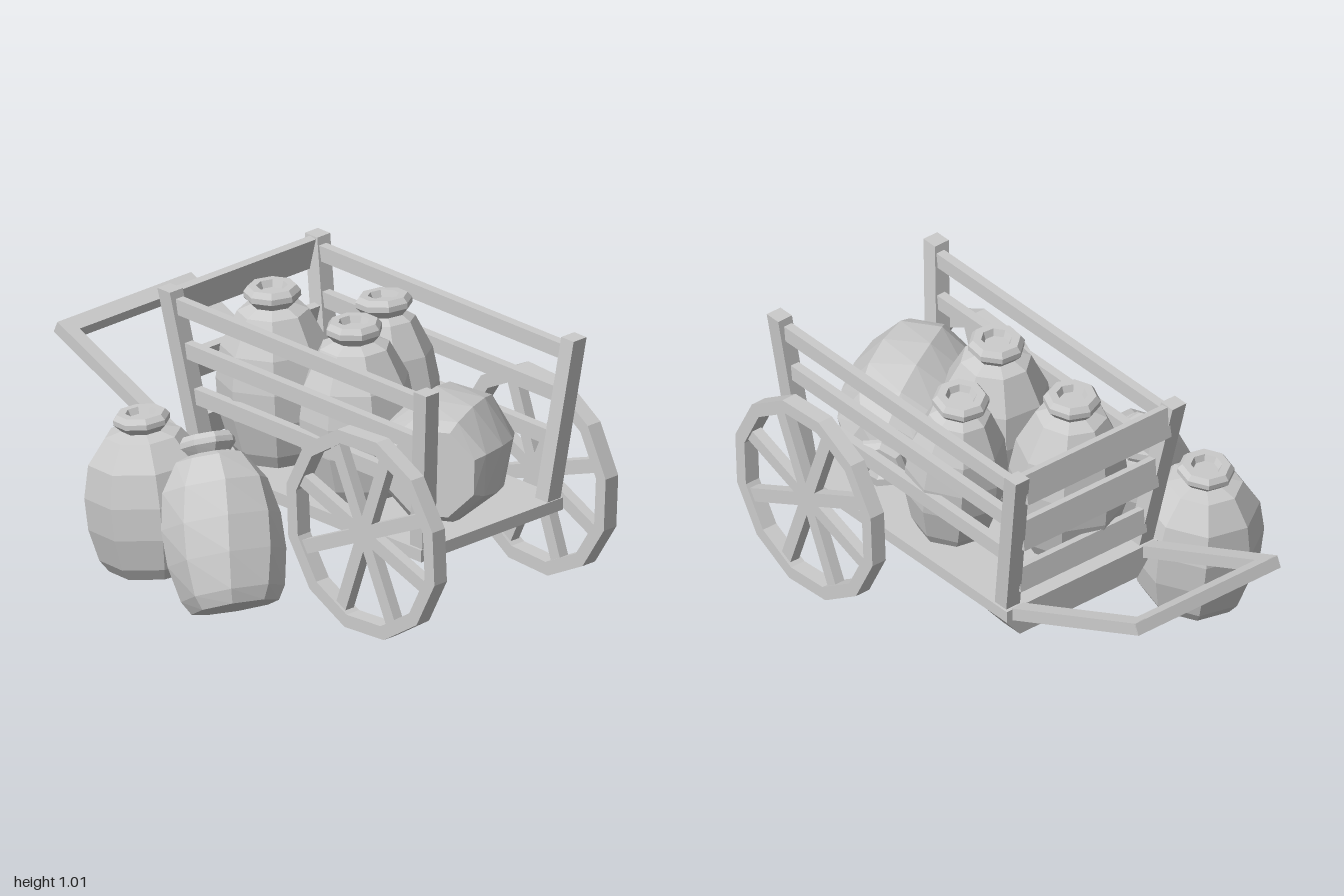
import * as THREE from 'three';

const mat = new THREE.MeshStandardMaterial({ color: 0xcccccc, flatShading: true, side: THREE.DoubleSide });
const CX = 0.17; // centre line of the cart
const FLOOR = 0.395;

function add(parent, name, geometry, x = 0, y = 0, z = 0) {
  const m = new THREE.Mesh(geometry, mat);
  m.name = name;
  m.position.set(x, y, z);
  parent.add(m);
  return m;
}

// Straight beam with a rectangular section between two points
function beam(parent, name, a, b, w, h) {
  const m = add(parent, name, new THREE.BoxGeometry(w, h, a.distanceTo(b)));
  m.position.copy(a).add(b).multiplyScalar(0.5);
  m.lookAt(b);
}

// Leaning post with level ends: a box sheared from its foot to its head
function post(parent, name, foot, head) {
  const g = new THREE.BoxGeometry(0.062, head.y - foot.y, 0.062);
  const p = g.attributes.position;
  for (let i = 0; i < p.count; i++) {
    const end = p.getY(i) > 0 ? head : foot;
    p.setXYZ(i, p.getX(i) + end.x, end.y, p.getZ(i) + end.z);
  }
  add(parent, name, g);
}

// Twelve-sided rim with eight spokes, turning about x
function wheel(parent, name, x, turn) {
  const w = new THREE.Group();
  w.name = name;
  const ring = (r, C) => {
    const s = new C();
    for (let i = 0; i < 12; i++) {
      const a = (i + 0.5) * Math.PI / 6 + turn;
      s[i ? 'lineTo' : 'moveTo'](r * Math.cos(a), r * Math.sin(a));
    }
    s.closePath();
    return s;
  };
  const shape = ring(0.378, THREE.Shape);
  shape.holes.push(ring(0.328, THREE.Path));
  const rim = new THREE.ExtrudeGeometry(shape, { depth: 0.06, bevelEnabled: false });
  rim.translate(0, 0, -0.03);
  add(w, 'rim', rim);
  for (let i = 0; i < 8; i++) {
    const s = new THREE.BoxGeometry(0.335, 0.05, 0.04);
    s.translate(0.1675, 0, 0);
    add(w, 'spoke', s).rotation.z = (i + 0.5) * Math.PI / 4 + turn;
  }
  w.rotation.y = Math.PI / 2;
  w.position.set(x, 0.41, 0.63);
  parent.add(w);
}

// Faceted sacks: an upright or slumped body below a pinched neck and hollow lip
const UPRIGHT = [[0, 0], [0.14, 0], [0.17, 0.05], [0.205, 0.18], [0.208, 0.29], [0.188, 0.41], [0.125, 0.535]];
const SLUMPED = [[0, 0], [0.16, 0], [0.19, 0.05], [0.217, 0.18], [0.22, 0.31], [0.196, 0.44], [0.13, 0.54]];
const NECK = [[0.075, 0.557], [0.1, 0.585], [0.1, 0.605], [0.085, 0.625], [0.055, 0.625], [0.045, 0.6], [0, 0.6]];
const UP = new THREE.Vector3(0, 1, 0);

function sack(parent, name, base, top, { body = UPRIGHT, girth = 1, turn = 0, twist = 0 } = {}) {
  const axis = top.clone().sub(base);
  const k = axis.length() / 0.625;
  const pts = [...body.map(([r, y]) => [r * girth, y]), ...NECK].map(([r, y]) => new THREE.Vector2(r, y * k));
  const g = new THREE.LatheGeometry(pts, 8);
  const p = g.attributes.position, v = new THREE.Vector3();
  for (let i = 0; i < p.count; i++) {
    v.fromBufferAttribute(p, i);
    v.applyAxisAngle(UP, turn + twist * v.y);
    p.setXYZ(i, v.x, v.y, v.z);
  }
  const m = add(parent, name, g);
  m.position.copy(base);
  m.quaternion.setFromUnitVectors(UP, axis.normalize());
}

export function createModel() {
  const root = new THREE.Group();
  root.name = 'handcart';
  const V = (x, y, z) => new THREE.Vector3(x, y, z);

  // Bed and the tapered rest beneath its back
  add(root, 'floor', new THREE.BoxGeometry(0.68, 0.045, 1.17), CX, 0.3725, 0.265);
  const rest = new THREE.Shape([[-0.34, 0.35], [-0.265, 0.26], [0.265, 0.26], [0.34, 0.35]]
    .map(([x, y]) => new THREE.Vector2(x, y)));
  add(root, 'rest', new THREE.ExtrudeGeometry(rest, { depth: 0.09, bevelEnabled: false }), CX, 0, -0.3);

  // Outward-leaning frame; the position along a post follows its height
  const lean = (y, a, b) => a + (b - a) * (y - FLOOR) / (1.005 - FLOOR);
  const side = y => lean(y, 0.3, 0.353);
  const front = y => lean(y, 0.815, 0.89);
  const back = y => lean(y, -0.275, -0.39);
  for (const s of [-1, 1]) {
    for (const [name, end] of [['frontPost', front], ['backPost', back]]) {
      post(root, name,
        V(CX + s * side(0.38), 0.38, end(0.38)),
        V(CX + s * side(1.005), 1.005, end(1.005)));
    }
    for (const y of [0.948, 0.788, 0.622]) {
      const x = CX + s * (side(y) - 0.005);
      beam(root, 'sideRail', V(x, y, back(y)), V(x, y, front(y)), 0.035, 0.057);
    }
    wheel(root, s > 0 ? 'leftWheel' : 'rightWheel', s > 0 ? 0.6 : -0.22, s * 0.05);
    const hx = CX - 0.007 + s * 0.293;
    beam(root, 'handleArm', V(hx, 0.365, -0.3), V(hx, 0.668, -0.985), 0.055, 0.045);
  }
  for (const [y, h] of [[0.943, 0.115], [0.715, 0.11], [0.5, 0.09]]) {
    const b = add(root, 'backBoard', new THREE.BoxGeometry(2 * side(y) - 0.05, h, 0.03), CX, y, back(y) - 0.012);
    b.rotation.x = 0.18;
  }
  const grip = add(root, 'handleGrip', new THREE.BoxGeometry(0.64, 0.045, 0.06), CX - 0.007, 0.657, -0.961);
  grip.rotation.x = 0.416;

  // Load in the cart
  sack(root, 'standingSack', V(0.07, FLOOR, -0.11), V(0.065, 1.02, -0.14));
  sack(root, 'standingSack', V(0.05, FLOOR, 0.315), V(0.05, 1.02, 0.285), { turn: 0.3 });
  sack(root, 'smallSack', V(0.32, FLOOR, 0.2), V(0.335, 0.99, 0.135), { girth: 0.86, turn: 0.2 });
  sack(root, 'lyingSack', V(-0.06, 0.63, 0.785), V(0.455, 0.57, 0.44), { body: SLUMPED, girth: 1.03, turn: 0.2, twist: 0.5 });

  // Sacks on the ground beside it
  sack(root, 'groundSack', V(-0.37, 0.06, -0.265), V(-0.385, 0.62, -0.325), { body: SLUMPED, girth: 1.03, turn: 0.2 });
  sack(root, 'leaningSack', V(-0.47, 0.082, 0.235), V(-0.345, 0.61, -0.04), { body: SLUMPED, girth: 0.96, twist: 0.6 });
  return root;
}
